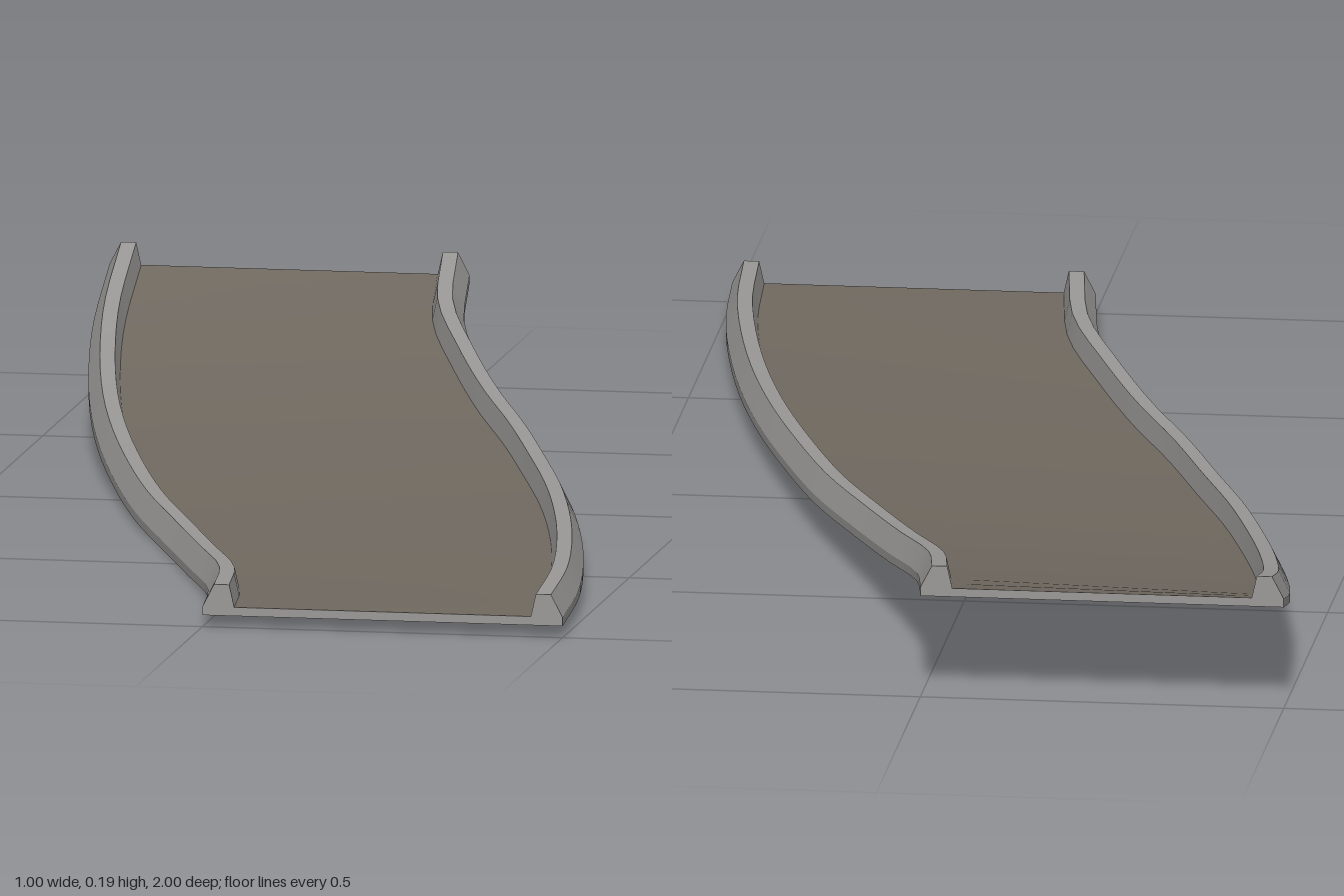
import * as THREE from 'three';

// Stations run from the raised back (z = -1) to the low front (z = 1).
const EDGE_X = [0, 0.03, 0.095, 0.165, 0.24, 0.305, 0.365, 0.415, 0.455, 0.485, 0.5];
const LEFT_Y = [0.145, 0.112, 0.084, 0.063, 0.049, 0.04, 0.034, 0.028, 0.024, 0.021, 0.018];
const RIGHT_Y = [0.145, 0.1, 0.068, 0.043, 0.027, 0.013, 0.006, 0.002, 0.004, 0.01, 0.018];
const STEPS = 32;

// One kerb in section: distance in from the outer edge, height above the underside.
const KERB = [[0, 0], [0, 0.012], [0.016, 0.043], [0.037, 0.043], [0.044, 0.012]];

const curve = (xs, ys) => new THREE.CatmullRomCurve3(
  xs.map((x, i) => new THREE.Vector3(x, ys[i], -1 + 0.2 * i)), false, 'catmullrom', 0.5);

// The two edges are half-turn copies in plan, with their own banked heights.
const plusEdge = curve(EDGE_X, LEFT_Y);
const minusEdge = curve(EDGE_X.map((_, i) => -EDGE_X[10 - i]), RIGHT_Y);

// Closed section, counter-clockwise seen from the front.
function section(t) {
  const p = plusEdge.getPoint(t), m = minusEdge.getPoint(t);
  const plus = KERB.map(([d, h]) => new THREE.Vector3(p.x - d, p.y + h, p.z));
  const minus = KERB.map(([d, h]) => new THREE.Vector3(m.x + d, m.y + h, m.z));
  return [...plus, ...minus.reverse()];
}

function geometry(points, index) {
  const g = new THREE.BufferGeometry().setFromPoints(points);
  g.setIndex(index);
  g.computeVertexNormals();
  return g;
}

// Sweep one side of the section along the whole length.
function strip(sections, side) {
  const points = [], index = [];
  sections.forEach((s, i) => {
    points.push(s[side], s[(side + 1) % s.length]);
    if (i) {
      const a = 2 * i - 2;
      index.push(a, a + 1, a + 3, a, a + 3, a + 2);
    }
  });
  return geometry(points, index);
}

function endCap(s, front) {
  const faces = THREE.ShapeUtils.triangulateShape(s.map(v => new THREE.Vector2(v.x, v.y)), []);
  return geometry(s, faces.flatMap(([a, b, c]) => front ? [a, b, c] : [a, c, b]));
}

export function createModel() {
  const group = new THREE.Group();
  group.name = 'curvedRamp';
  const kerbGrey = new THREE.MeshStandardMaterial({ color: 0x999896 });
  kerbGrey.name = 'kerbGrey';
  const deckBrown = new THREE.MeshStandardMaterial({ color: 0x706960 });
  deckBrown.name = 'deckBrown';

  const add = (name, geo, mat) => {
    const mesh = new THREE.Mesh(geo, mat);
    mesh.name = name;
    group.add(mesh);
  };

  const sections = Array.from({ length: STEPS + 1 }, (_, i) => section(i / STEPS));

  // Long faces: left kerb, deck, right kerb, underside
  for (let side = 0; side < 10; side++) {
    const name = side < 4 ? 'leftKerb' : side === 4 ? 'deck' : side < 9 ? 'rightKerb' : 'underside';
    add(name, strip(sections, side), side === 4 ? deckBrown : kerbGrey);
  }

  // End faces
  add('backEnd', endCap(sections[0], false), kerbGrey);
  add('frontEnd', endCap(sections[STEPS], true), kerbGrey);
  return group;
}
